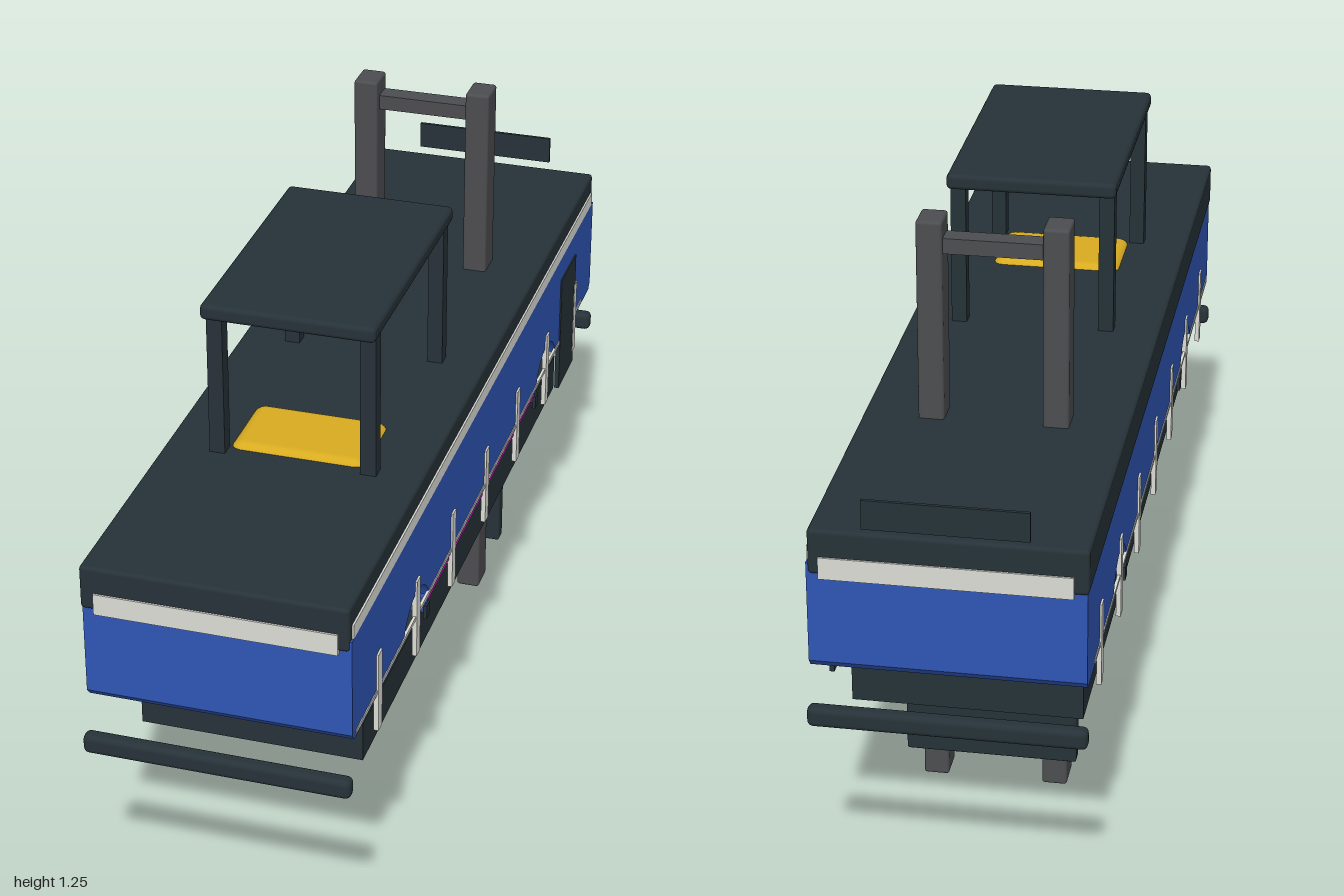
import * as THREE from 'three';
import { RoundedBoxGeometry } from 'three/addons/geometries/RoundedBoxGeometry.js';

export function createModel() {
  const root = new THREE.Group();
  const mat = (name, color) => {
    const m = new THREE.MeshStandardMaterial({ color });
    m.name = name;
    return m;
  };
  const dark = mat('charcoal', 0x263238);
  const blue = mat('blue', 0x2f55b5);
  const yellow = mat('yellow', 0xd8ab20);
  const white = mat('offWhite', 0xdcdcd6);
  const grey = mat('mastGrey', 0x4c4d50);
  const magenta = mat('magenta', 0xe815d0);

  const add = (name, geometry, material, x = 0, y = 0, z = 0) => {
    const mesh = new THREE.Mesh(geometry, material);
    mesh.name = name;
    mesh.position.set(x, y, z);
    root.add(mesh);
    return mesh;
  };
  // Box given by its limits on each axis, with optional rounded edges
  const block = (name, material, [x0, x1], [y0, y1], [z0, z1], r = 0) => {
    const size = [x1 - x0, y1 - y0, z1 - z0];
    const geometry = r ? new RoundedBoxGeometry(...size, 2, r) : new THREE.BoxGeometry(...size);
    return add(name, geometry, material, (x0 + x1) / 2, (y0 + y1) / 2, (z0 + z1) / 2);
  };

  // Blue body: side profile with two wheel arches, extruded across the width
  const bottom = 0.53, archZ = 0.535, archY = 0.495, archR = 0.1;
  const dip = Math.asin((bottom - archY) / archR);
  const profile = new THREE.Shape();
  profile.moveTo(-0.972, 0.755);
  profile.lineTo(-0.972, bottom + 0.015);
  profile.lineTo(-0.96, bottom);
  for (const z of [-archZ, archZ]) {
    profile.lineTo(z - archR * Math.cos(dip), bottom);
    profile.absarc(z, archY, archR, Math.PI - dip, dip, true);
  }
  profile.lineTo(0.96, bottom);
  profile.lineTo(0.972, bottom + 0.015);
  profile.lineTo(0.972, 0.755);
  const bodyGeometry = new THREE.ExtrudeGeometry(profile, { depth: 0.53, bevelEnabled: false, curveSegments: 20 });
  bodyGeometry.translate(0, 0, -0.265).rotateY(Math.PI / 2);
  add('body', bodyGeometry, blue);

  // Roof slab and its pale stripes
  block('roof', dark, [-0.268, 0.261], [0.733, 0.826], [-0.977, 0.977], 0.008);
  block('sideStripe', white, [0.258, 0.265], [0.755, 0.784], [-0.96, 0.96]);
  for (const s of [-1, 1]) {
    block('endStripe', white, [-0.24, 0.24], [0.726, 0.771], [s * 0.977 - 0.004, s * 0.977 + 0.004]);
    block('bumper', dark, [-0.27, 0.268], [0.413, 0.455], [s * 0.984 - 0.016, s * 0.984 + 0.016], 0.012);
    block('lowerCrossPanel', blue, [-0.262, 0.262], [0.497, 0.531], [s * 0.45 - 0.008, s * 0.45 + 0.008]);
    // Trim rail and upright stakes along each flank
    const flank = s * 0.264;
    block('trimRail', white, [flank - 0.003, flank + 0.003], [0.536, 0.544], [-0.88, 0.95]);
    for (let i = -3; i <= 3; i++) {
      const z = i * 0.267;
      block('stake', white, [flank - 0.005, flank + 0.005], [0.45, 0.625], [z - 0.0125, z + 0.0125]);
    }
    // Wheels tucked inside and small stops at the arch ends
    for (const z of [-0.34, 0.34]) {
      const wheel = add('wheel', new THREE.CylinderGeometry(0.1, 0.1, 0.07, 24), dark, s * 0.2, 0.61, z);
      wheel.rotation.z = Math.PI / 2;
    }
    for (const z of [-archZ, archZ]) {
      const lip = add('archLip', new THREE.TorusGeometry(0.096, 0.008, 8, 20, Math.PI / 2), dark, s * 0.2, archY, z);
      lip.rotation.y = z > 0 ? Math.PI / 2 : -Math.PI / 2;
    }
    for (const z of [-0.45, 0.45]) {
      block('archStop', dark, [s * 0.262 - 0.004, s * 0.262 + 0.004], [0.485, 0.515], [z - 0.012, z + 0.012]);
    }
  }
  block('sillStrip', magenta, [0.255, 0.262], [0.516, 0.53], [-0.44, 0.44]);
  block('door', dark, [0.258, 0.268], [0.42, 0.7], [-0.8, -0.66]);
  block('rearPanel', dark, [-0.16, 0.155], [0.84, 0.9], [-0.985, -0.978]);

  // Chassis and yellow truck body running through the middle
  block('chassis', dark, [-0.23, 0.228], [0.35, 0.435], [-0.782, 0.782]);
  block('truckBody', yellow, [-0.178, 0.178], [0.43, 0.6], [-0.53, 0.53], 0.015);
  block('hood', yellow, [-0.142, 0.142], [0.7, 0.838], [0.3, 0.485], 0.025);

  // Overhead guard
  block('guardRoof', dark, [-0.178, 0.176], [1.132, 1.165], [-0.035, 0.53], 0.01);
  for (const x of [-0.157, 0.155]) {
    for (const z of [0.005, 0.488]) {
      block('guardPost', dark, [x - 0.016, x + 0.016], [0.6, 1.14], [z - 0.016, z + 0.016]);
    }
  }

  // Lifting mast with crossbars and carriage plate
  for (const x of [-0.126, 0.123]) {
    block('mastRail', grey, [x - 0.026, x + 0.026], [0, 1.245], [-0.482, -0.412], 0.006);
  }
  for (const y of [0.18, 1.193]) {
    block('mastCrossbar', grey, [-0.11, 0.11], [y - 0.016, y + 0.016], [-0.472, -0.43]);
  }
  block('carriagePlate', dark, [-0.178, 0.175], [0.085, 0.276], [-0.527, -0.493], 0.005);

  return root;
}
